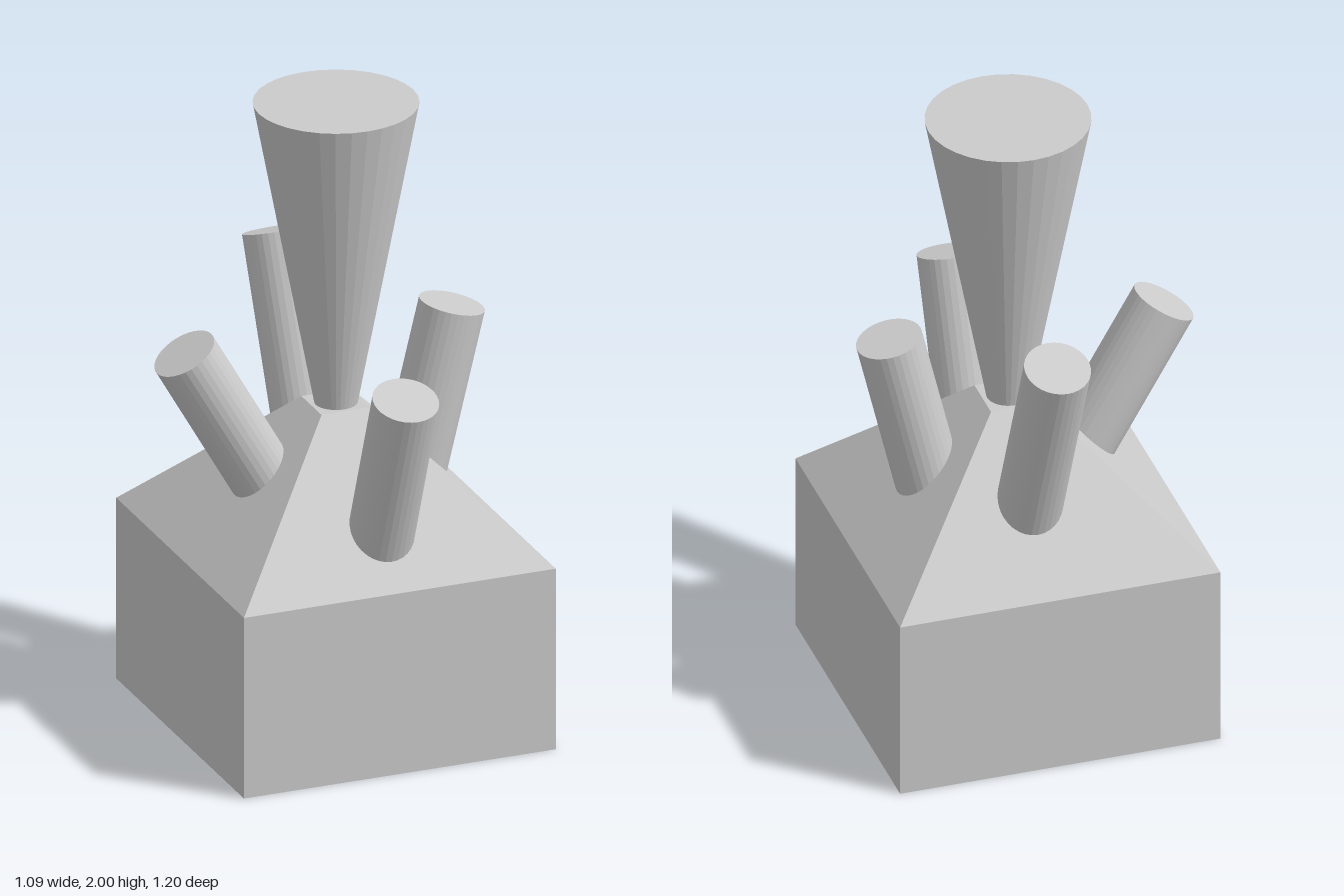
import * as THREE from 'three';

const material = new THREE.MeshStandardMaterial({ color: 0xcccccc, flatShading: true, side: THREE.FrontSide });

// Centre line of the block, roof and funnel
const CX = 0.0375, CZ = -0.017;
const SIDE = 1.016, WALL = 0.59, ROOF_TOP = 1.02, ROOF_HALF = 0.08;

function addMesh(group, name, geometry, x, y, z) {
  const mesh = new THREE.Mesh(geometry, material);
  mesh.name = name;
  mesh.position.set(x, y, z);
  group.add(mesh);
  return mesh;
}

// Straight tube hanging from the centre of its top cap, along its axis
function addTube(group, name, top, axis, length) {
  const dir = new THREE.Vector3(...axis).normalize();
  const centre = new THREE.Vector3(...top).addScaledVector(dir, -length / 2);
  const geometry = new THREE.CylinderGeometry(0.102, 0.102, length, 32);
  const tube = addMesh(group, name, geometry, centre.x, centre.y, centre.z);
  tube.quaternion.setFromUnitVectors(new THREE.Vector3(0, 1, 0), dir);
}

export function createModel() {
  const group = new THREE.Group();
  group.name = 'model';

  // Square block
  addMesh(group, 'baseBlock', new THREE.BoxGeometry(SIDE, WALL, SIDE), CX, WALL / 2, CZ);

  // Truncated pyramid roof: a four-sided cylinder turned square to the block
  const roofHeight = ROOF_TOP - WALL;
  const roof = new THREE.CylinderGeometry(
    ROOF_HALF * Math.SQRT2, SIDE / 2 * Math.SQRT2, roofHeight, 4).rotateY(Math.PI / 4);
  addMesh(group, 'pyramidRoof', roof, CX, WALL + roofHeight / 2, CZ);

  // Central funnel, widening upward
  const funnel = new THREE.CylinderGeometry(0.252, 0.066, 2 - ROOF_TOP, 32);
  addMesh(group, 'funnel', funnel, CX, (2 + ROOF_TOP) / 2, CZ);

  // Leaning tubes, one out of each roof face
  addTube(group, 'rightTube', [-0.457, 1.255, CZ], [-0.5, 0.866, 0], 0.65);
  addTube(group, 'leftTube', [0.413, 1.285, -0.011], [0.236, 1, 0.017], 0.65);
  addTube(group, 'frontTube', [0.051, 1.223, 0.505], [0.017, 1, 0.35], 0.65);
  addTube(group, 'backTube', [0.038, 1.397, -0.5], [-0.034, 1, -0.35], 0.78);

  return group;
}
